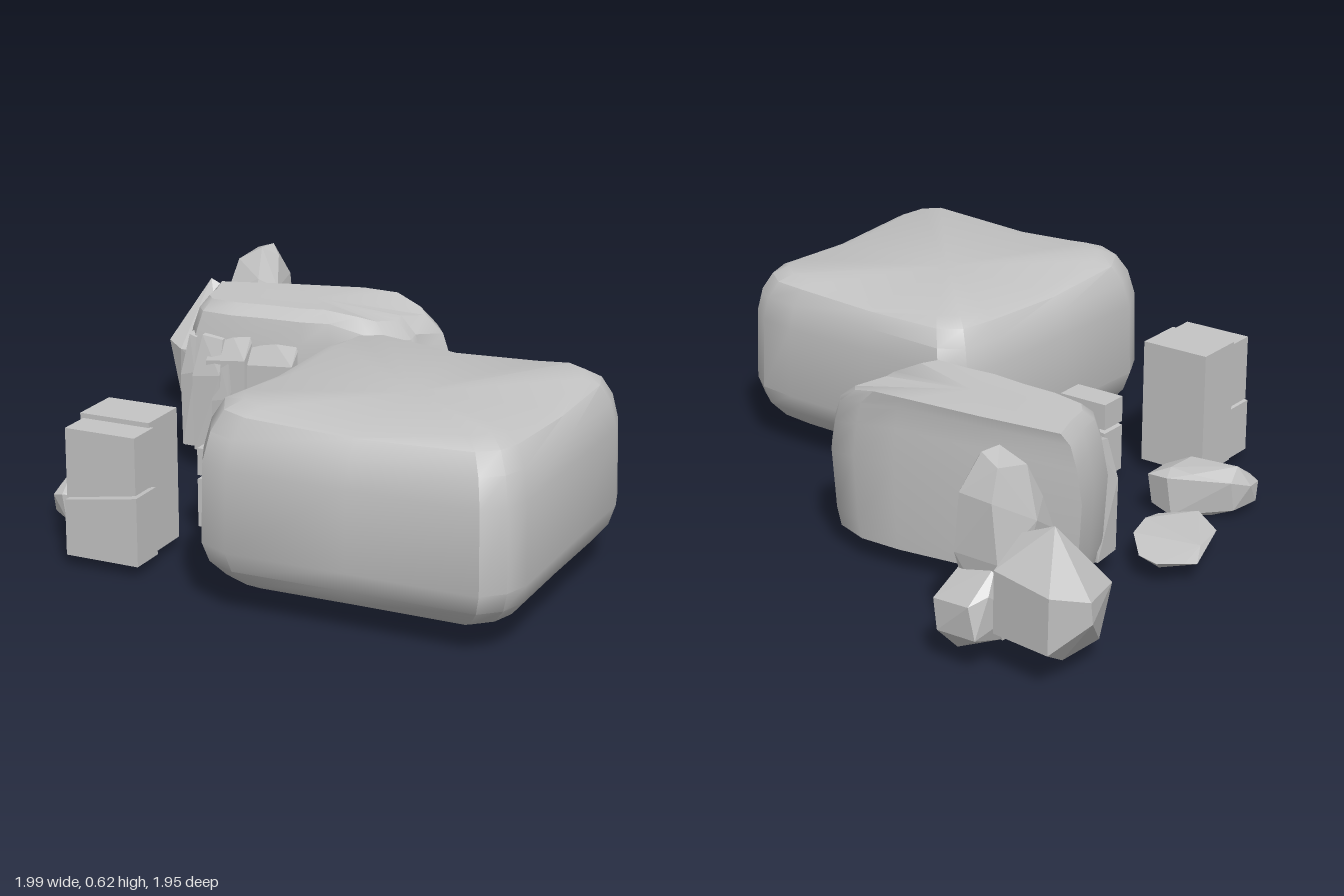
import * as THREE from 'three';
import { toCreasedNormals } from 'three/addons/utils/BufferGeometryUtils.js';
import { ConvexGeometry } from 'three/addons/geometries/ConvexGeometry.js';

const stone = new THREE.MeshStandardMaterial({ color: 0xc4c4c4 });
stone.name = 'grey stone';

function addMesh(group, name, geometry) {
  const mesh = new THREE.Mesh(geometry, stone);
  mesh.name = name;
  group.add(mesh);
}

// Boulder: a plan outline stacked in levels [y, scale, dx, dz] and capped at both ends
function boulder(outline, [cx, cz], levels, bend, crease) {
  const n = outline.length, pos = [], idx = [];
  const put = (x, y, z) => pos.push(x, y + bend(x, y, z), z);
  for (const [y, s, dx = 0, dz = 0] of levels)
    for (const [x, z] of outline) put(cx + (x - cx) * s + dx, y, cz + (z - cz) * s + dz);
  const last = (levels.length - 1) * n, low = levels.length * n;
  put(cx, levels[0][0], cz);
  put(cx, levels[levels.length - 1][0], cz);
  for (let i = 0; i < n; i++) {
    const j = (i + 1) % n;
    for (let r = 0; r < last; r += n)
      idx.push(r + i, r + n + i, r + j, r + j, r + n + i, r + n + j);
    idx.push(low, i, j, low + 1, last + j, last + i);
  }
  const g = new THREE.BufferGeometry();
  g.setAttribute('position', new THREE.Float32BufferAttribute(pos, 3));
  g.setIndex(idx);
  return toCreasedNormals(g, crease);
}

// Faceted stone: hull around a few corner points
const hull = (points) => new ConvexGeometry(points.map((p) => new THREE.Vector3(...p)));

// Skewed block: its base rises by baseRise and its top by topRise from x0 to x1
function block(x0, x1, z0, z1, y0, y1, baseRise = 0, topRise = 0) {
  const pts = [];
  for (const z of [z0, z1])
    pts.push([x0, y0, z], [x1, y0 + baseRise, z], [x0, y1, z], [x1, y1 + topRise, z]);
  return hull(pts);
}

export function createModel() {
  const model = new THREE.Group();
  model.name = 'rocks';

  // Big square slab with rounded edges, raised corners and a slightly sunken top
  const square = [[0.11, -0.08], [0.42, -0.06], [0.75, -0.055], [0.88, -0.04], [0.96, 0.02], [0.99, 0.12],
    [0.985, 0.45], [0.985, 0.83], [0.96, 0.91], [0.9, 0.965], [0.5, 0.965], [0.13, 0.97], [0.03, 0.92],
    [-0.03, 0.8], [-0.015, 0.45], [0, 0.1], [0.03, -0.03]];
  const slabBend = (x, y, z) => {
    const r2 = (x - 0.48) ** 2 + (z - 0.45) ** 2;
    const dish = 0.25 * (THREE.MathUtils.clamp(r2, 0.16, 0.27) - 0.25);
    return y > 0.4 ? (y - 0.4) / 0.2 * (0.022 * (z - 0.45) + dish) : 0;
  };
  addMesh(model, 'bigSlab', boulder(square, [0.48, 0.45],
    [[0.07, 0.82], [0.09, 0.89], [0.14, 0.97], [0.2, 1.005], [0.44, 0.995], [0.52, 0.96, 0, -0.005],
      [0.575, 0.9, 0, -0.01], [0.6, 0.81, 0, -0.015]], slabBend, 0.6));

  // Long boulder behind
  const long = [[-0.71, -0.46], [-0.4, -0.52], [-0.1, -0.565], [0.05, -0.57], [0.17, -0.53], [0.22, -0.47],
    [0.16, -0.36], [0.17, -0.3], [0.12, -0.2], [0.06, -0.17], [-0.1, -0.185], [-0.2, -0.17], [-0.35, -0.175],
    [-0.48, -0.17], [-0.61, -0.19], [-0.65, -0.24], [-0.67, -0.34]];
  addMesh(model, 'longBoulder', boulder(long, [-0.25, -0.38],
    [[0.07, 0.94], [0.13, 0.97], [0.36, 1], [0.47, 0.96, 0, -0.005], [0.54, 0.91, 0, -0.01], [0.575, 0.81, -0.02, -0.03]],
    (x, y) => (y > 0.3 ? (x > -0.05 ? -0.3 * (x + 0.05) : 0.03 * (x + 0.05)) * (y / 0.58) : 0), 0.6));

  // Uneven shards splitting off its front: [left, right, front z, top, slope back]
  const shards = [[-0.64, -0.57, -0.16, 0.46, 0.04], [-0.58, -0.46, -0.13, 0.47, 0.05],
    [-0.5, -0.42, -0.115, 0.4, 0.03], [-0.53, -0.37, -0.135, 0.53, 0.1],
    [-0.4, -0.2, -0.14, 0.53, 0.1], [-0.26, -0.12, -0.16, 0.5, 0.07]];
  shards.forEach(([x0, x1, z, top, back]) => addMesh(model, 'frontShard', hull([
    [x0, 0.07, -0.27], [x1, 0.07, -0.27], [x0 + 0.01, 0.07, z], [x1 - 0.01, 0.07, z],
    [x0, top - 0.15, z - 0.01], [x1 - 0.01, top - 0.13, z + 0.005], [x0 + 0.02, top - 0.015, z - back],
    [x1 - 0.02, top - 0.02, z - back + 0.01], [x0 + 0.02, top, -0.28], [x1 - 0.01, top, -0.28]])));

  // Cluster of three faceted stones at the back
  addMesh(model, 'wideClusterStone', hull([
    [-1, 0.27, -0.83], [-1, 0.2, -0.82], [-0.93, 0.3, -0.93], [-0.92, 0.12, -0.92], [-0.87, 0.46, -0.82],
    [-0.76, 0.41, -0.82], [-0.73, 0.32, -0.91], [-0.72, 0.12, -0.9], [-0.96, 0.26, -0.67], [-0.92, 0.07, -0.67],
    [-0.9, 0.24, -0.64], [-0.74, 0.24, -0.64], [-0.72, 0.1, -0.65], [-0.8, 0.06, -0.72], [-0.9, 0.06, -0.82],
    [-0.7, 0.28, -0.74]]));
  addMesh(model, 'tallClusterStone', hull([
    [-0.71, 0.57, -0.73], [-0.63, 0.615, -0.75], [-0.59, 0.58, -0.8], [-0.62, 0.615, -0.82], [-0.69, 0.59, -0.84],
    [-0.76, 0.42, -0.75], [-0.73, 0.46, -0.68], [-0.61, 0.52, -0.68], [-0.74, 0.35, -0.64], [-0.59, 0.37, -0.635],
    [-0.56, 0.48, -0.73], [-0.55, 0.33, -0.74], [-0.58, 0.5, -0.87], [-0.57, 0.32, -0.88], [-0.7, 0.5, -0.88],
    [-0.72, 0.32, -0.88], [-0.73, 0.2, -0.65], [-0.58, 0.18, -0.64], [-0.7, 0.06, -0.66], [-0.6, 0.06, -0.67],
    [-0.6, 0.07, -0.82], [-0.71, 0.07, -0.84]]));
  addMesh(model, 'smallClusterStone', hull([
    [-0.7, 0.31, -0.86], [-0.58, 0.29, -0.84], [-0.72, 0.24, -0.92], [-0.69, 0.22, -0.975], [-0.55, 0.2, -0.95],
    [-0.54, 0.22, -0.85], [-0.55, 0.16, -0.79], [-0.73, 0.15, -0.8], [-0.71, 0.12, -0.97], [-0.57, 0.11, -0.96],
    [-0.62, 0.06, -0.93], [-0.6, 0.07, -0.83], [-0.7, 0.07, -0.84]]));

  // Peaked stone between the boulders
  addMesh(model, 'peakedStone', hull([
    [-0.31, 0.33, 0.04], [-0.24, 0.35, 0.02], [-0.19, 0.31, 0.07], [-0.26, 0.3, 0.12], [-0.32, 0.13, -0.1],
    [-0.23, 0.14, -0.11], [-0.15, 0.13, -0.08], [-0.11, 0.15, 0.02], [-0.4, 0.1, 0.14], [-0.39, 0.06, 0.05],
    [-0.31, 0.05, -0.09], [-0.1, 0.06, 0], [-0.1, 0.06, 0.18], [-0.23, 0.05, 0.25], [-0.22, 0.13, 0.24],
    [-0.34, 0.05, 0.19], [-0.12, 0.14, 0.16]]));

  // Two flat ground stones
  addMesh(model, 'flatStone', hull([
    [-0.79, 0.075, -0.18], [-0.72, 0.08, -0.17], [-0.64, 0.1, -0.08], [-0.61, 0.1, 0.03], [-0.6, 0.08, 0.12],
    [-0.69, 0.08, 0.21], [-0.8, 0.07, 0.14], [-0.87, 0.06, -0.08], [-0.85, 0.07, -0.12], [-0.83, 0.08, 0],
    [-0.78, 0.05, -0.15], [-0.67, 0.045, -0.08], [-0.63, 0.04, 0.08], [-0.7, 0.03, 0.17], [-0.84, 0.035, -0.04]]));
  addMesh(model, 'roundedGroundStone', hull([
    [-0.56, 0.15, 0.225], [-0.48, 0.14, 0.24], [-0.455, 0.12, 0.38], [-0.49, 0.11, 0.44], [-0.62, 0.16, 0.28],
    [-0.72, 0.13, 0.35], [-0.745, 0.1, 0.43], [-0.73, 0.09, 0.5], [-0.69, 0.1, 0.515], [-0.53, 0.1, 0.47],
    [-0.7, 0.16, 0.42], [-0.54, 0.16, 0.4], [-0.54, 0.165, 0.28], [-0.735, 0.03, 0.48], [-0.7, 0.005, 0.47],
    [-0.68, 0.02, 0.51], [-0.54, 0.01, 0.43], [-0.48, 0.03, 0.42], [-0.51, 0.01, 0.29], [-0.57, 0.02, 0.24],
    [-0.49, 0.04, 0.25], [-0.65, 0, 0.36], [-0.72, 0.03, 0.37]]));

  // Large upright block, cracked across the front and along the top
  const large = new THREE.Group();
  large.name = 'crackedBlock';
  addMesh(large, 'backHalf', block(-0.5, -0.265, 0.53, 0.7, 0.035, 0.45));
  addMesh(large, 'lowerFront', block(-0.495, -0.25, 0.69, 0.81, 0.035, 0.21, 0, 0.04));
  addMesh(large, 'upperFront', block(-0.49, -0.255, 0.69, 0.805, 0.217, 0.435, 0.04));
  model.add(large);

  // Small upright block in three pieces
  const small = new THREE.Group();
  small.name = 'smallBlock';
  addMesh(small, 'lowerLeftPiece', block(-0.255, -0.185, 0.325, 0.425, 0.035, 0.19, 0, 0.01));
  addMesh(small, 'lowerRightPiece', block(-0.18, -0.08, 0.325, 0.42, 0.035, 0.2, 0, -0.01));
  addMesh(small, 'topPiece', block(-0.255, -0.08, 0.325, 0.425, 0.203, 0.29));
  model.add(small);

  return model;
}
